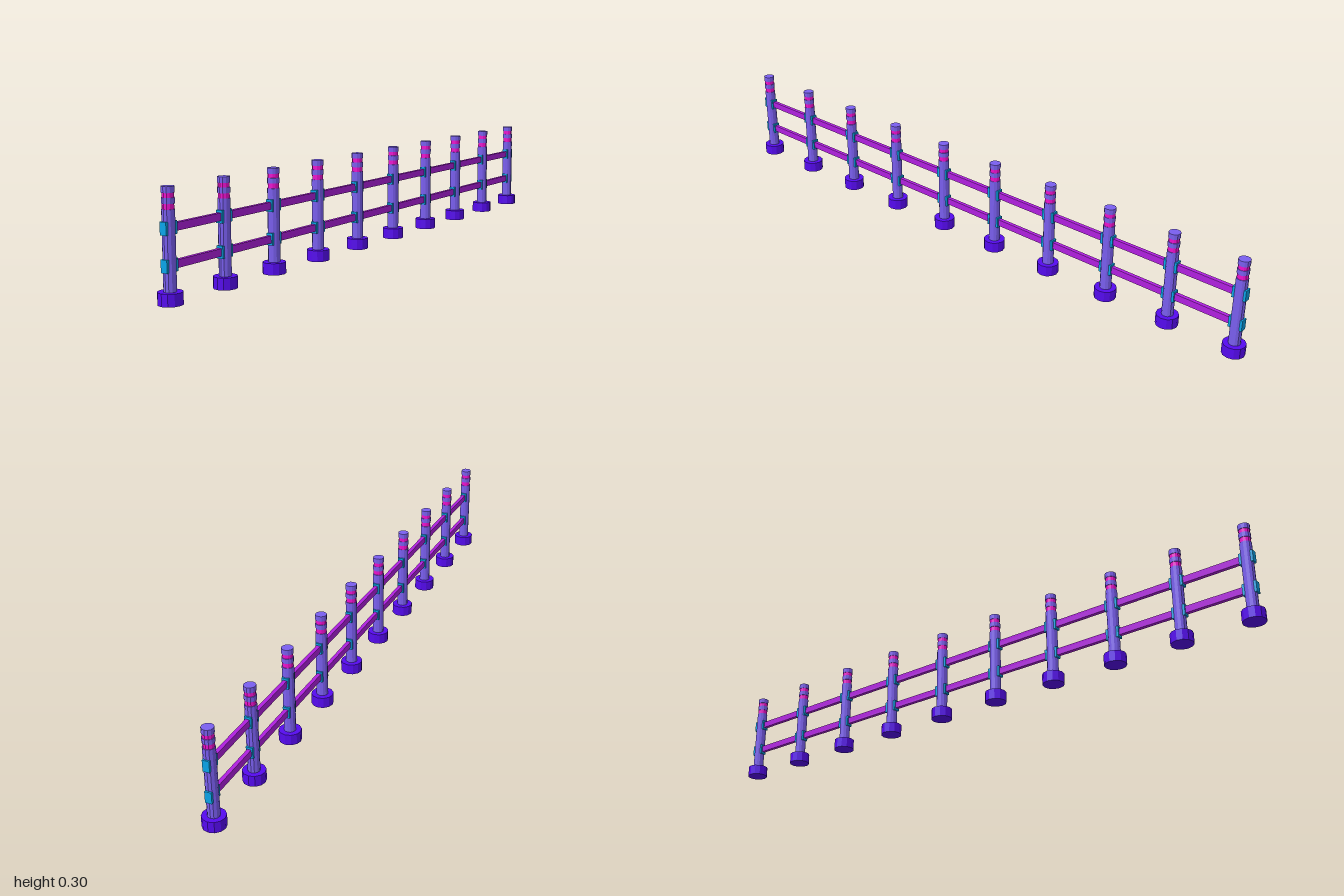
import * as THREE from 'three';

const material = (color) => new THREE.MeshStandardMaterial({ color, flatShading: true });

export function createModel() {
  const violet = material(0x7a5ff0);
  const indigo = material(0x560af0);
  const pink = material(0xf010d0);
  const blue = material(0x0aa5ea);
  const purple = material(0xb020e0);

  const count = 10;
  const endZ = 0.967;
  const step = (2 * endZ) / (count - 1);
  const railHeights = [0.099, 0.193];

  const fence = new THREE.Group();
  fence.name = 'fence';

  const add = (parent, name, geometry, mat, y) => {
    const mesh = new THREE.Mesh(geometry, mat);
    mesh.name = name;
    mesh.position.y = y;
    parent.add(mesh);
  };

  // Round post sections: name, material, radius, bottom, top
  const sections = [
    ['base', indigo, 0.033, 0, 0.033],
    ['shaft', violet, 0.0172, 0.033, 0.24],
    ['lowerBand', pink, 0.0155, 0.24, 0.254],
    ['ring', violet, 0.0172, 0.254, 0.269],
    ['upperBand', pink, 0.0155, 0.269, 0.281],
    ['cap', violet, 0.0172, 0.281, 0.297],
  ].map(([name, mat, r, y0, y1]) => ({
    name, mat, y: (y0 + y1) / 2,
    geometry: new THREE.CylinderGeometry(r, r, y1 - y0, 12),
  }));

  const bracket = new THREE.BoxGeometry(0.02, 0.034, 0.042);

  for (let i = 0; i < count; i++) {
    const post = new THREE.Group();
    post.name = `post${i + 1}`;
    post.position.z = -endZ + i * step;
    for (const s of sections) add(post, s.name, s.geometry, s.mat, s.y);
    // Rail brackets pass through the shaft along the fence line
    for (const y of railHeights) add(post, 'bracket', bracket, blue, y);
    fence.add(post);
  }

  // Rails run the full length between the end posts
  const rail = new THREE.BoxGeometry(0.012, 0.021, 2 * endZ);
  for (const y of railHeights) add(fence, 'rail', rail, purple, y);

  return fence;
}
